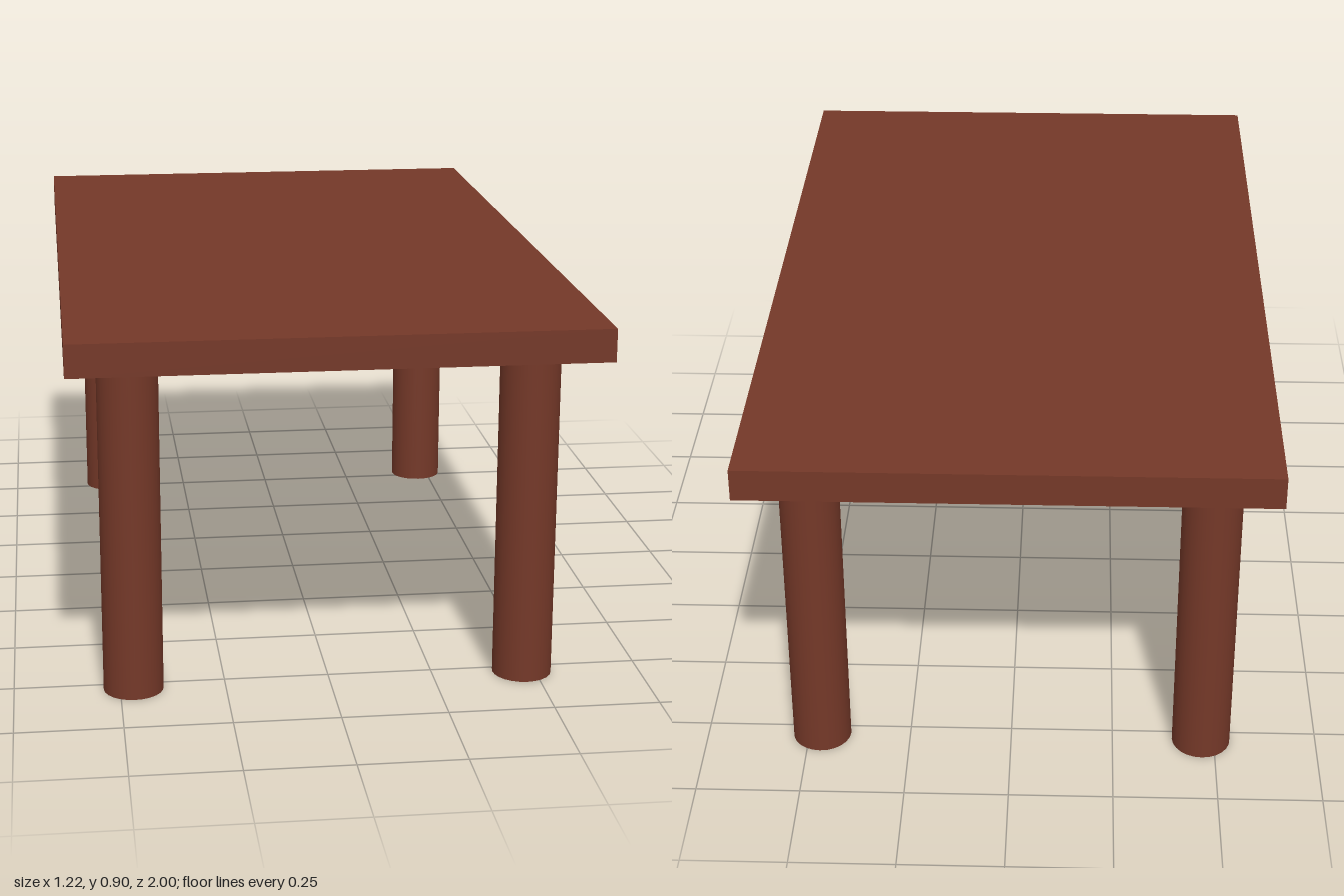
import * as THREE from 'three';

export function createModel() {
  const table = new THREE.Group();
  table.name = 'table';
  const wood = new THREE.MeshStandardMaterial({ color: 0x743828 });

  const legHeight = 0.828;
  const topThickness = 0.077;

  // Flat rectangular slab
  const top = new THREE.Mesh(new THREE.BoxGeometry(1.224, topThickness, 2), wood);
  top.name = 'tableTop';
  top.position.y = legHeight + topThickness / 2;
  table.add(top);

  // Four round legs, set in from the corners
  const legGeometry = new THREE.CylinderGeometry(0.071, 0.071, legHeight, 24);
  for (const [zName, z] of [['front', 0.777], ['back', -0.777]]) {
    for (const [xName, x] of [['Left', 0.468], ['Right', -0.468]]) {
      const leg = new THREE.Mesh(legGeometry, wood);
      leg.name = `${zName}${xName}Leg`;
      leg.position.set(x, legHeight / 2, z);
      table.add(leg);
    }
  }
  return table;
}
